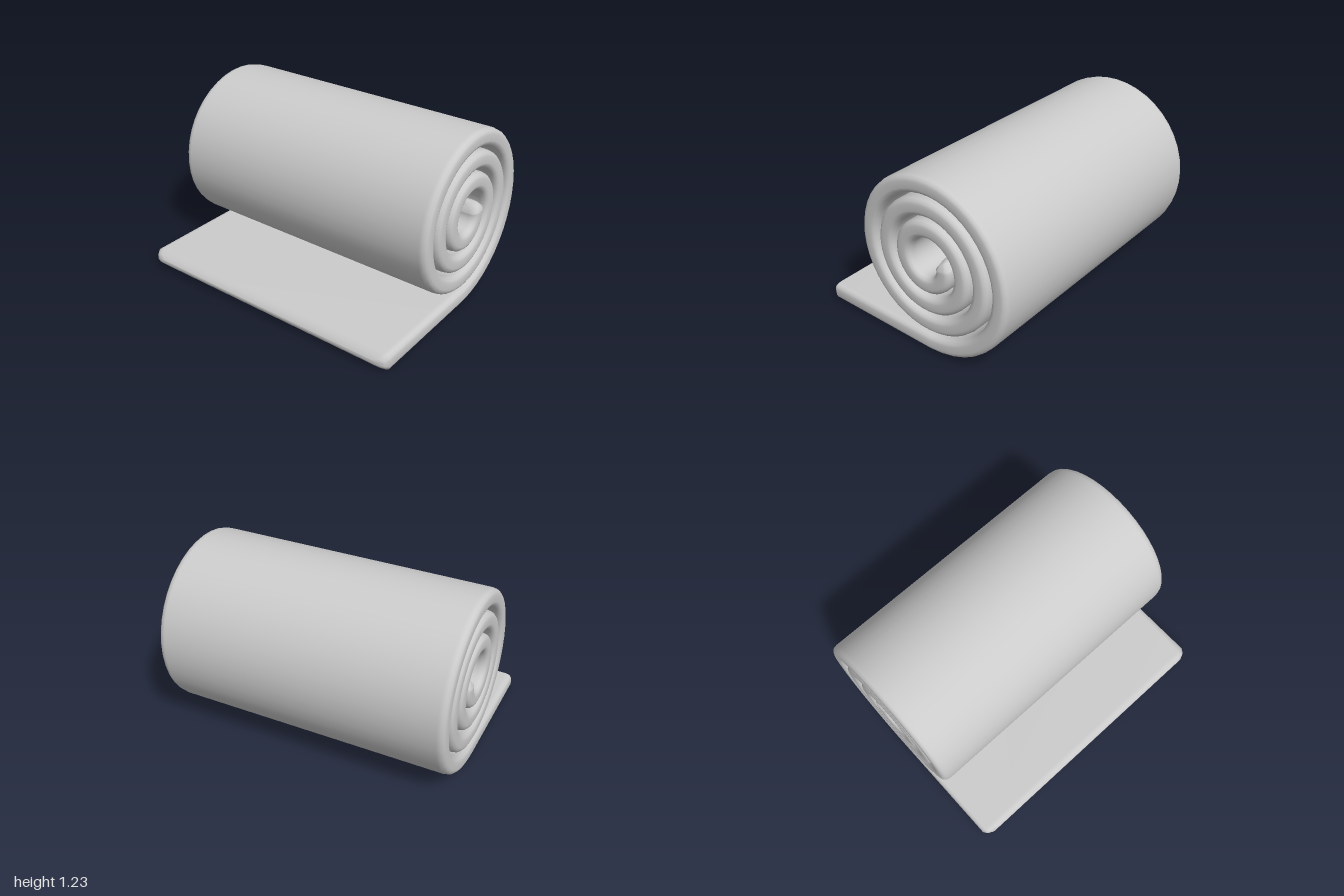
import * as THREE from 'three';

const CENTRE_Y = 0.652, CENTRE_Z = -0.154; // middle of the roll
const R0 = 0.592, PITCH = 0.144;           // outer radius and gap per turn
const HALF = 0.06;                         // half of the mat's thickness
const TURN = Math.PI * 2;

// Centre line seen from the side: flat while t < 0, then a spiral inward
function path(t) {
  if (t < 0) return new THREE.Vector3(0, CENTRE_Y - R0, CENTRE_Z - R0 * t);
  const r = R0 - PITCH * t / TURN;
  return new THREE.Vector3(0, CENTRE_Y - r * Math.cos(t), CENTRE_Z - r * Math.sin(t));
}

// Wide cross-section with rounded edges, counter-clockwise as [x, thickness]
function section(inset, thick) {
  const corner = [[1, 0.022], [0.993, 0.04], [0.978, 0.054], [0.95, HALF]];
  const q = corner.map(([x, n]) => [x - inset, n * thick]);
  const back = [...q].reverse();
  return [
    ...q,
    ...back.map(([x, n]) => [-x, n]),
    ...q.map(([x, n]) => [-x, -n]),
    ...back.map(([x, n]) => [x, -n]),
  ];
}

function matGeometry() {
  // Stations along the mat, tapering at both tips
  const taper = [[0, 0.06, 0.2], [0.02, 0.02, 0.62], [0.05, 0, 1]];
  const start = -(0.77 + CENTRE_Z * -1) / R0;
  const end = TURN * 3.325;
  const stations = taper.map(([s, inset, thick]) => ({ t: start + s / R0, inset, thick }));
  const last = end - 0.05 / 0.115;
  const steps = 140;
  for (let i = 0; i < steps; i++) stations.push({ t: last * i / steps, inset: 0, thick: 1 });
  for (const [s, inset, thick] of [...taper].reverse()) {
    stations.push({ t: end - s / 0.115, inset, thick });
  }

  const pos = [], index = [];
  const n = section(0, 1).length;
  for (const { t, inset, thick } of stations) {
    const p = path(t);
    const tan = path(t + 0.01).sub(path(t - 0.01)).normalize();
    for (const [x, h] of section(inset, thick)) {
      pos.push(x, p.y + tan.z * h, p.z - tan.y * h);
    }
  }
  for (let s = 0; s < stations.length - 1; s++) {
    for (let i = 0; i < n; i++) {
      const a = s * n + i, b = s * n + (i + 1) % n;
      index.push(a, b, b + n, a, b + n, a + n);
    }
  }
  // Close both tips
  const lastRing = (stations.length - 1) * n;
  const c0 = pos.length / 3, c1 = c0 + 1;
  pos.push(...path(start).toArray(), ...path(end).toArray());
  for (let i = 0; i < n; i++) {
    const j = (i + 1) % n;
    index.push(c0, j, i, c1, lastRing + i, lastRing + j);
  }

  const geo = new THREE.BufferGeometry();
  geo.setAttribute('position', new THREE.Float32BufferAttribute(pos, 3));
  geo.setIndex(index);
  geo.computeVertexNormals();
  return geo;
}

export function createModel() {
  const group = new THREE.Group();
  group.name = 'rolledMat';
  const mat = new THREE.Mesh(matGeometry(), new THREE.MeshStandardMaterial({ color: 0xcccccc }));
  mat.name = 'mat';
  group.add(mat);
  return group;
}
